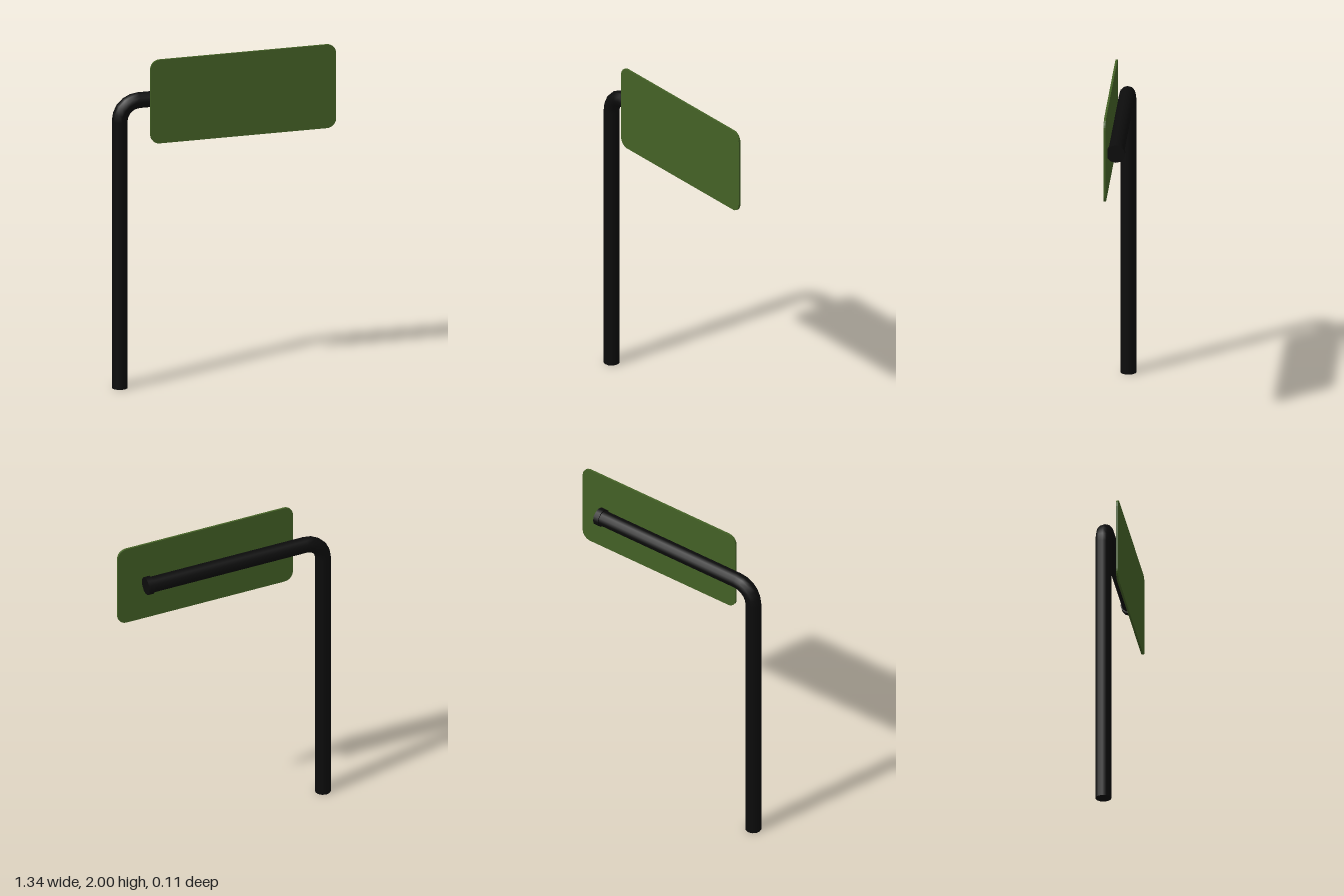
import * as THREE from 'three';

const black = new THREE.MeshStandardMaterial({ color: 0x0c0c0c });
const green = new THREE.MeshStandardMaterial({ color: 0x446126 });

const R = 0.047;      // pipe radius
const BEND = 0.115;   // elbow radius
const POST_X = -0.622, ARM_Y = 1.745, PIPE_Z = -0.003;
const SIDES = 12;

function part(group, name, geometry, material, x, y, z) {
  const mesh = new THREE.Mesh(geometry, material);
  mesh.name = name;
  mesh.position.set(x, y, z);
  group.add(mesh);
  return mesh;
}

function roundedRect(w, h, r) {
  const s = new THREE.Shape();
  const x = w / 2 - r, y = h / 2 - r;
  s.absarc(x, y, r, 0, Math.PI / 2);
  s.absarc(-x, y, r, Math.PI / 2, Math.PI);
  s.absarc(-x, -y, r, Math.PI, Math.PI * 1.5);
  s.absarc(x, -y, r, Math.PI * 1.5, Math.PI * 2);
  s.closePath();
  return s;
}

export function createModel() {
  const model = new THREE.Group();
  model.name = 'roadSign';

  // Upright post
  const postH = ARM_Y - BEND;
  part(model, 'post', new THREE.CylinderGeometry(R, R, postH, SIDES),
    black, POST_X, postH / 2, PIPE_Z);

  // Quarter-turn elbow joining post and arm
  const elbow = part(model, 'elbow', new THREE.TorusGeometry(BEND, R, SIDES, 5, Math.PI / 2),
    black, POST_X + BEND, postH, PIPE_Z);
  elbow.rotation.z = Math.PI / 2;

  // Horizontal arm running behind the panel
  const armStart = POST_X + BEND, armEnd = 0.48;
  const arm = part(model, 'arm', new THREE.CylinderGeometry(R, R, armEnd - armStart, SIDES),
    black, (armStart + armEnd) / 2, ARM_Y, PIPE_Z);
  arm.rotation.z = Math.PI / 2;

  // Wider cap on the free end of the arm
  const cap = part(model, 'endCap', new THREE.CylinderGeometry(0.054, 0.054, 0.035, SIDES),
    black, 0.494, ARM_Y, PIPE_Z);
  cap.rotation.z = Math.PI / 2;

  // Thin panel with rounded corners
  part(model, 'signPanel',
    new THREE.ExtrudeGeometry(roundedRect(1.12, 0.51, 0.055),
      { depth: 0.012, bevelEnabled: false, curveSegments: 3 }),
    green, 0.107, 1.745, 0.046);

  return model;
}
